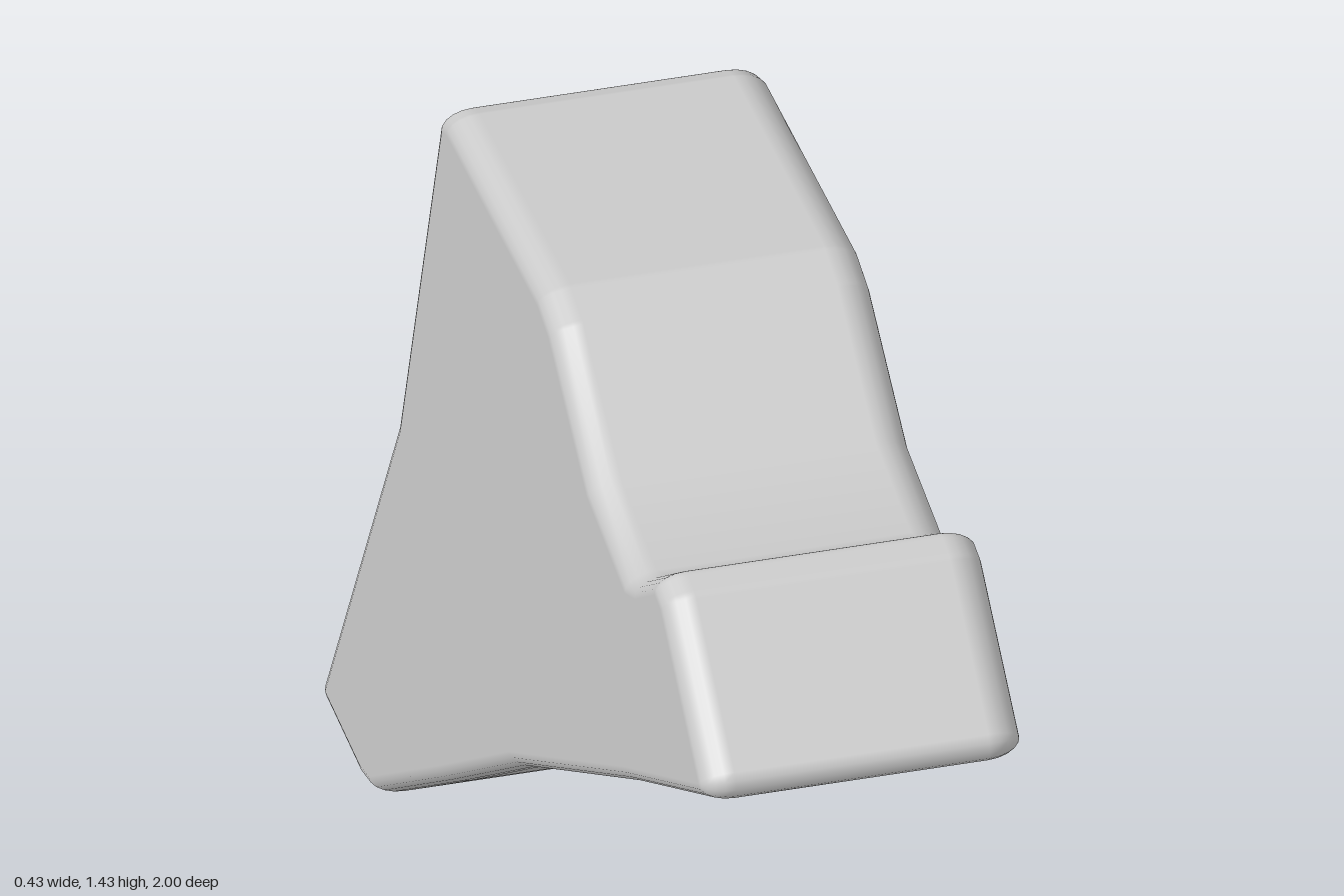
import * as THREE from 'three';

const HALF_WIDTH = 0.215; // half thickness along x
const ROUND = 0.025;      // edge rounding seen in the profile plane
const ROUND_X = 0.045;    // edge rounding measured along x
const ARC = 4;            // steps per rounded profile corner
const BEVEL = 5;          // steps per quarter of the edge rounding

// Side profile as [z, y], counter-clockwise from the nose over the top
const PROFILE = [
  [1.02, 1.222], [0.785, 1.388], [0.74, 1.393], [0.63, 1.31], [0.585, 1.287], [0.4, 1.303],
  [0.2, 1.417], [0.135, 1.43], [-0.345, 1.374], [-0.385, 1.357],
  [-0.605, 0.72], [-1.018, 0], [-0.79, 0.009], [-0.735, 0.025],
  [-0.38, 0.287], [0, 0.572], [0.1, 0.637], [0.6, 0.962],
].map(([z, y]) => new THREE.Vector2(z, y));

// Slab with the given profile, rounded along every outer edge
function roundedSlab(profile) {
  const count = profile.length;
  const core = [];
  const rim = []; // { core, offset, normal } around the whole outline
  const edgeNormal = (a, b) => new THREE.Vector2(b.y - a.y, a.x - b.x).normalize();

  profile.forEach((p, i) => {
    const n1 = edgeNormal(profile[(i + count - 1) % count], p);
    const n2 = edgeNormal(p, profile[(i + 1) % count]);
    const miter = n1.clone().add(n2).divideScalar(1 + n1.dot(n2));
    const c = p.clone().addScaledVector(miter, -ROUND);
    core.push(c);
    const turn = Math.atan2(n1.cross(n2), n1.dot(n2));
    if (turn > 0) {
      // Outer corner: sweep an arc
      for (let k = 0; k <= ARC; k++) {
        const dir = n1.clone().rotateAround(new THREE.Vector2(), (turn * k) / ARC);
        rim.push({ core: c, offset: dir, normal: dir });
      }
    } else {
      // Inner corner: one mitred point
      rim.push({ core: c, offset: miter, normal: miter.clone().normalize() });
    }
  });

  const positions = [], normals = [], index = [];
  const rings = [];
  for (const side of [-1, 1]) {
    for (let k = 0; k <= BEVEL; k++) {
      const t = (k / BEVEL) * Math.PI / 2;
      rings.push({ side, angle: side < 0 ? t - Math.PI / 2 : t });
    }
  }

  // Outline rings from one side face to the other
  for (const { side, angle } of rings) {
    const cos = Math.cos(angle), sin = Math.sin(angle);
    for (const r of rim) {
      positions.push(
        side * (HALF_WIDTH - ROUND_X) + ROUND_X * sin,
        r.core.y + ROUND * cos * r.offset.y,
        r.core.x + ROUND * cos * r.offset.x);
      normals.push(sin, cos * r.normal.y, cos * r.normal.x);
    }
  }
  const n = rim.length;
  for (let i = 0; i < rings.length - 1; i++) {
    for (let j = 0; j < n; j++) {
      const a = i * n + j, b = i * n + (j + 1) % n;
      index.push(a, a + n, b + n, a, b + n, b);
    }
  }

  // Flat side faces
  const faces = THREE.ShapeUtils.triangulateShape(core, []);
  for (const side of [-1, 1]) {
    const start = positions.length / 3;
    for (const c of core) {
      positions.push(side * HALF_WIDTH, c.y, c.x);
      normals.push(side, 0, 0);
    }
    for (const [a, b, c] of faces) {
      if (side < 0) index.push(start + a, start + b, start + c);
      else index.push(start + a, start + c, start + b);
    }
  }

  const geometry = new THREE.BufferGeometry();
  geometry.setAttribute('position', new THREE.Float32BufferAttribute(positions, 3));
  geometry.setAttribute('normal', new THREE.Float32BufferAttribute(normals, 3));
  geometry.setIndex(index);
  return geometry;
}

export function createModel() {
  const group = new THREE.Group();
  group.name = 'notchedWedge';
  const body = new THREE.Mesh(
    roundedSlab(PROFILE),
    new THREE.MeshStandardMaterial({ color: 0xcccccc }));
  body.name = 'body';
  group.add(body);
  return group;
}
